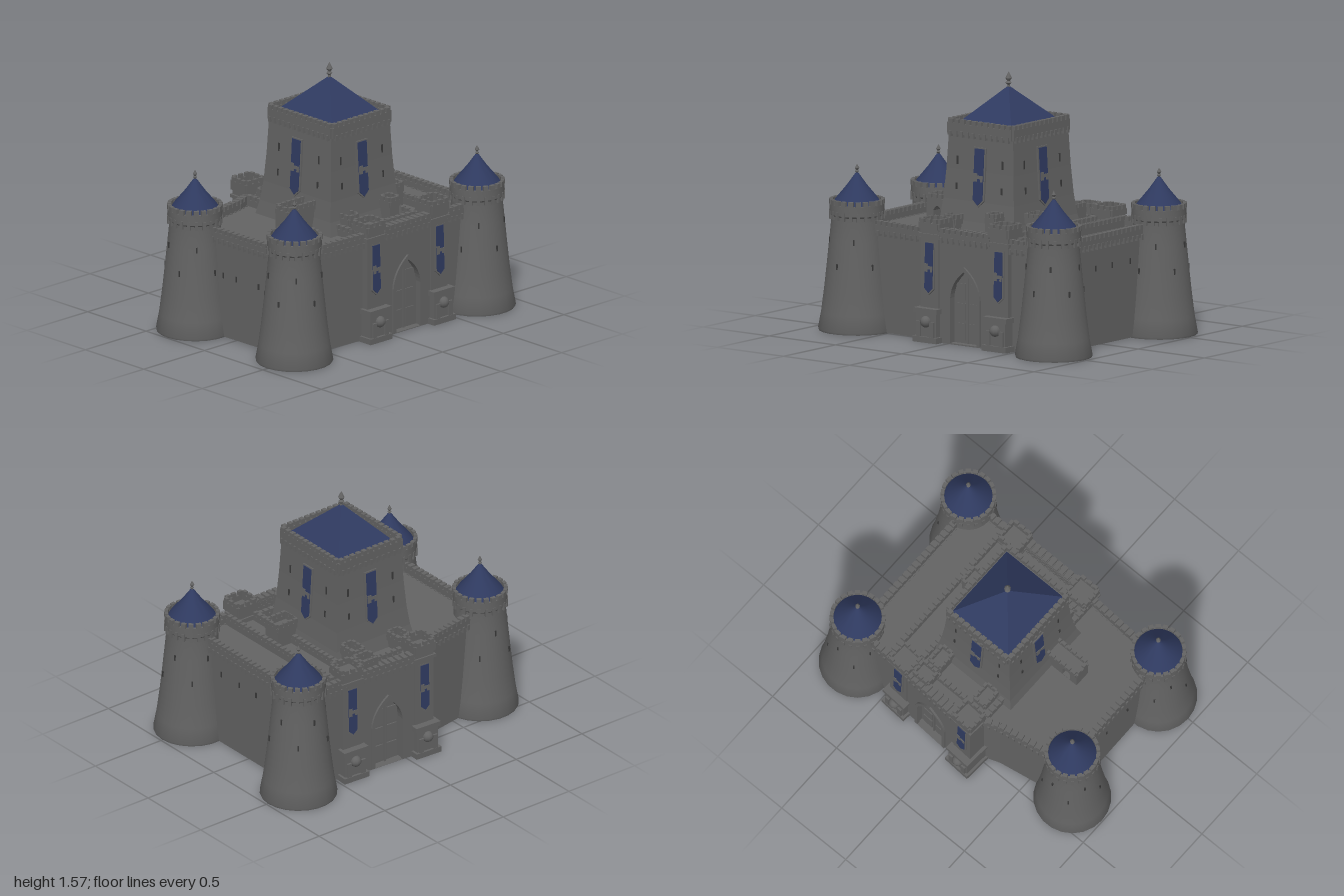
import * as THREE from 'three';
import { mergeGeometries, toCreasedNormals } from 'three/addons/utils/BufferGeometryUtils.js';

const mat = (name, color, side = THREE.FrontSide) => {
  const m = new THREE.MeshStandardMaterial({ color, side });
  m.name = name;
  return m;
};

export function createModel() {
  const stone = mat('stone', 0x626262);
  const blue = mat('blue', 0x2f3a60);
  const dark = mat('dark slit', 0x383838);
  const castle = new THREE.Group();
  castle.name = 'castle';

  const add = (parent, name, geo, material) => {
    const m = new THREE.Mesh(geo, material);
    m.name = name;
    parent.add(m);
    return m;
  };
  const group = (name, x, y, z, ry = 0) => {
    const g = new THREE.Group();
    g.name = name;
    g.position.set(x, y, z);
    g.rotation.y = ry;
    castle.add(g);
    return g;
  };
  // box given by its bottom centre
  const box = (w, h, d, x, y, z, ry = 0) =>
    new THREE.BoxGeometry(w, h, d).rotateY(ry).translate(x, y + h / 2, z);
  const lathe = (pts, seg) => toCreasedNormals(
    new THREE.LatheGeometry(pts.map(p => new THREE.Vector2(...p)), seg), 0.6);

  // wall with merlons (and optional corbels) between two ground points
  const wallGeo = ([x0, z0], [x1, z1], y0, y1, t = 0.035, corbels = false) => {
    const dx = x1 - x0, dz = z1 - z0, len = Math.hypot(dx, dz), ry = -Math.atan2(dz, dx);
    const parts = [box(len, y1 - y0 - 0.025, t, (x0 + x1) / 2, y0, (z0 + z1) / 2, ry)];
    const n = Math.max(2, Math.round(len / 0.042));
    for (let i = 0; i < n; i++) {
      const f = (i + 0.5) / n, x = x0 + dx * f, z = z0 + dz * f;
      parts.push(box(0.028, 0.025, t, x, y1 - 0.025, z, ry));
      if (corbels) parts.push(box(0.016, 0.035, t + 0.016, x, y0 - 0.015, z, ry));
    }
    return mergeGeometries(parts);
  };
  // merlons round a rectangle
  const crownGeo = (w, d, x, z, y0, y1, t = 0.025, corbels = false) => {
    const a = w / 2 - t / 2, b = d / 2 - t / 2;
    const c = [[x - a, z - b], [x + a, z - b], [x + a, z + b], [x - a, z + b]];
    return mergeGeometries(c.map((p, i) => wallGeo(p, c[(i + 1) % 4], y0, y1, t, corbels)));
  };
  const finial = (parent, y, s) => add(parent, 'finial', lathe([[0.012, -0.015], [0.008, 0.015],
    [0.02, 0.028], [0.009, 0.04], [0.021, 0.058], [0.01, 0.08], [0, 0.1]]
    .map(([r, h]) => [r * s, y + h * s]), 8), stone);

  // pointed outline, used for banners (down) and arches (up)
  const bannerGeo = (w, h, depth) => {
    const s = new THREE.Shape();
    s.moveTo(-w / 2, w * 0.45);
    s.lineTo(0, 0);
    s.lineTo(w / 2, w * 0.45);
    s.lineTo(w / 2, h);
    s.lineTo(-w / 2, h);
    return new THREE.ExtrudeGeometry(s, { depth, bevelEnabled: false });
  };
  const arch = (P, w, spring, apex) => {
    const s = new P();
    s.moveTo(-w, 0.01);
    s.lineTo(w, 0.01);
    s.lineTo(w, spring);
    s.quadraticCurveTo(w * 0.92, spring + (apex - spring) * 0.6, 0, apex);
    s.quadraticCurveTo(-w * 0.92, spring + (apex - spring) * 0.6, -w, spring);
    return s;
  };
  const banner = (parent, w, h, x, y, z, tilt) => {
    const g = new THREE.Group();
    g.name = 'banner';
    g.position.set(x, y, z);
    g.rotation.x = tilt;
    parent.add(g);
    add(g, 'bannerFrame', bannerGeo(w + 0.022, h + 0.02, 0.012).translate(0, -0.012, -0.006), stone);
    add(g, 'bannerCloth', bannerGeo(w, h, 0.006).translate(0, 0, 0.004), blue);
    add(g, 'bannerBand', mergeGeometries([
      box(w, 0.02, 0.005, 0, h * 0.47, 0.011),
      box(w * 0.4, 0.05, 0.005, -w * 0.3, h * 0.42, 0.011),
      box(w * 0.25, 0.03, 0.005, w * 0.35, h * 0.42, 0.011)]), stone);
  };

  // main body: low block under the courtyards
  const outline = [[-0.53, -0.74], [0.53, -0.74], [0.525, 0.15], [0.49, 0.74], [-0.36, 0.75], [-0.44, 0.3], [-0.53, 0.05]];
  const body = new THREE.Shape(outline.map(([x, z]) => new THREE.Vector2(x, -z)));
  add(castle, 'castleBody', new THREE.ExtrudeGeometry(body, { depth: 0.61, bevelEnabled: false })
    .rotateX(-Math.PI / 2).translate(0, 0.005, 0), stone);
  outline.forEach((p, i) => {
    const q = outline[(i + 1) % outline.length];
    add(castle, 'curtainParapet', wallGeo(p, q, 0.6, 0.675, 0.04, true), stone);
  });

  // inner cross walls on the terrace
  for (const [a, b, top] of [
    [[-0.5, -0.49], [0.5, -0.49], 0.68], [[-0.5, -0.33], [0.5, -0.33], 0.67],
    [[-0.46, 0.2], [0.5, 0.2], 0.68], [[0.42, -0.33], [0.42, 0.2], 0.67], [[-0.44, -0.33], [-0.44, 0.2], 0.67]])
    add(castle, 'innerWall', wallGeo(a, b, 0.6, top, 0.03), stone);

  // small turrets around the keep
  for (const [x, z, w, d, top] of [
    [0.14, -0.37, 0.13, 0.17, 0.77], [0.35, -0.19, 0.1, 0.09, 0.78], [-0.36, -0.23, 0.14, 0.1, 0.75],
    [-0.49, -0.24, 0.11, 0.13, 0.74], [-0.36, 0.12, 0.14, 0.1, 0.72], [0.33, 0.13, 0.11, 0.1, 0.74]]) {
    add(castle, 'smallTurret', mergeGeometries([box(w - 0.015, top - 0.65, d - 0.015, x, 0.6, z),
      crownGeo(w, d, x, z, top - 0.06, top, 0.018)]), stone);
  }

  // arched bridge in front of the keep
  const bridge = new THREE.Shape();
  bridge.moveTo(-0.47, 0.6);
  bridge.lineTo(-0.2, 0.6);
  bridge.lineTo(-0.2, 0.765);
  bridge.lineTo(-0.47, 0.765);
  const hole = new THREE.Path();
  hole.moveTo(-0.42, 0.62);
  hole.lineTo(-0.36, 0.62);
  hole.lineTo(-0.36, 0.705);
  hole.quadraticCurveTo(-0.39, 0.765, -0.42, 0.705);
  bridge.holes.push(hole);
  add(castle, 'bridge', new THREE.ExtrudeGeometry(bridge, { depth: 0.105, bevelEnabled: false })
    .rotateY(Math.PI / 2).translate(0.058, 0, 0), stone);
  add(castle, 'bridgeParapet', crownGeo(0.12, 0.26, 0.11, 0.345, 0.75, 0.805, 0.02), stone);

  // corner towers
  const N = 22;
  for (const [x, z] of [[-0.505, -0.76], [0.505, -0.76], [-0.325, 0.765], [0.495, 0.735]]) {
    const t = group('cornerTower', x, 0, z);
    add(t, 'towerWall', lathe([[0, 0], [0.228, 0], [0.232, 0.012], [0.214, 0.11], [0.196, 0.25], [0.18, 0.4],
      [0.165, 0.55], [0.154, 0.66], [0.154, 0.69], [0.163, 0.7], [0.163, 0.762], [0.14, 0.762]], N), stone);
    const parts = [];
    for (let i = 0; i < N; i++) {
      const a = (i / N) * Math.PI * 2;
      parts.push(box(0.03, 0.03, 0.022, 0, 0.76, 0.154).rotateY(a));
      parts.push(box(0.018, 0.05, 0.02, 0, 0.672, 0.157).rotateY(a));
    }
    add(t, 'towerCrown', mergeGeometries(parts), stone);
    add(t, 'towerRoof', lathe([[0.146, 0.762], [0.128, 0.79], [0.06, 0.872], [0.008, 0.945]], N), blue);
    finial(t, 0.935, 0.65);
    const slits = [];
    for (let i = 0; i < 5; i++)
      for (const [y, r] of [[0.53, 0.166], [0.38, 0.181]])
        slits.push(box(0.009, 0.035, 0.008, 0, y, r).rotateY(i * 1.257 + y * 4));
    add(t, 'arrowSlits', mergeGeometries(slits), dark);
  }

  // keep: square sections widening towards the foot
  const keep = group('keep', 0.005, 0, -0.025);
  const rows = [[0.6, 0.325], [0.7, 0.303], [0.82, 0.288], [1.0, 0.275], [1.21, 0.265]];
  const pos = [];
  const corner = ([y, h], k) => [[h, h - 0.022], [h, 0.022 - h], [-h, 0.022 - h], [-h, h - 0.022]][k % 4].toSpliced(1, 0, y);
  for (let r = 0; r < rows.length - 1; r++)
    for (let k = 0; k < 4; k++) {
      const a = corner(rows[r], k), b = corner(rows[r], k + 1), c = corner(rows[r + 1], k + 1), d = corner(rows[r + 1], k);
      pos.push(a, b, c, a, c, d);
    }
  const keepGeo = new THREE.BufferGeometry();
  keepGeo.setAttribute('position', new THREE.Float32BufferAttribute(pos.flat(), 3));
  keepGeo.computeVertexNormals();
  add(keep, 'keepWall', keepGeo, stone);
  add(keep, 'keepTop', box(0.54, 0.06, 0.48, 0, 1.19, 0), stone);
  add(keep, 'keepCrown', crownGeo(0.565, 0.505, 0, 0, 1.21, 1.3, 0.028, true), stone);
  add(keep, 'keepRoof', new THREE.ConeGeometry(Math.SQRT1_2, 0.24, 4, 1).toNonIndexed()
    .rotateY(Math.PI / 4).scale(0.51, 1, 0.45).translate(0, 1.365, 0), blue).geometry.computeVertexNormals();
  finial(keep, 1.475, 0.95);
  for (let k = 0; k < 4; k++) {
    const side = new THREE.Group();
    side.name = 'keepSide';
    side.rotation.y = k * Math.PI / 2;
    keep.add(side);
    const off = k % 2 ? 0 : -0.022;
    banner(side, 0.072, 0.34, k === 0 ? -0.015 : 0, 0.8, 0.292 + off, -0.06);
    add(side, 'keepSlits', mergeGeometries([-0.17, 0.17].flatMap(x =>
      [box(0.011, 0.05, 0.008, x, 1.03, 0.272 + off), box(0.011, 0.04, 0.008, x, 0.88, 0.283 + off)])), dark);
  }

  // side gates, each facing outward
  for (const [x, ry] of [[0.515, Math.PI / 2], [-0.525, -Math.PI / 2 - 0.06]]) {
    const g = group('gate', x, 0, -0.13, ry);
    const front = new THREE.Shape([[-0.19, 0], [0.19, 0], [0.19, 0.64], [-0.19, 0.64]].map(p => new THREE.Vector2(...p)));
    front.holes.push(arch(THREE.Path, 0.105, 0.28, 0.45));
    add(g, 'portalWall', new THREE.ExtrudeGeometry(front, { depth: 0.045, bevelEnabled: false, curveSegments: 8 }), stone);
    const trim = arch(THREE.Shape, 0.122, 0.285, 0.475);
    trim.holes.push(arch(THREE.Path, 0.1, 0.28, 0.445));
    add(g, 'archTrim', new THREE.ExtrudeGeometry(trim, { depth: 0.02, bevelEnabled: false, curveSegments: 8 })
      .translate(0, 0, 0.038), stone);
    // door leaves with raised panels
    const panels = [box(0.008, 0.4, 0.012, 0, 0.01, 0.014)];
    for (const px of [-0.05, 0.05]) for (const py of [0.03, 0.15, 0.27])
      panels.push(box(0.07, 0.1, 0.008, px, py, 0.014));
    add(g, 'doorPanels', mergeGeometries(panels), stone);
    add(g, 'portalParapet', wallGeo([-0.19, 0.025], [0.19, 0.025], 0.62, 0.69, 0.06, true), stone);
    for (const s of [-1, 1]) {
      const px = s * 0.262;
      add(g, 'pier', mergeGeometries([
        box(0.18, 0.035, 0.19, px, 0, 0.005), box(0.15, 0.14, 0.16, px, 0.035, 0.005),
        box(0.175, 0.03, 0.18, px, 0.175, 0.005), box(0.135, 0.5, 0.12, px, 0.2, -0.01),
        box(0.16, 0.02, 0.14, px, 0.63, -0.01)]), stone);
      // carved block on the pier foot
      add(g, 'pierCarving', mergeGeometries([
        new THREE.SphereGeometry(0.035, 10, 8).translate(px, 0.125, 0.085),
        box(0.03, 0.09, 0.025, px - 0.05, 0.035, 0.085), box(0.03, 0.09, 0.025, px + 0.05, 0.035, 0.085)]), stone);
      add(g, 'pierCrown', crownGeo(0.16, 0.15, px, -0.01, 0.68, s > 0 ? 0.76 : 0.74, 0.02), stone);
      banner(g, 0.06, 0.3, px, 0.295, 0.054, -0.03);
    }
  }

  // arrow slits on the front and back curtain walls
  const slits = [];
  for (const x of [-0.1, 0.01, 0.2]) slits.push(box(0.009, 0.035, 0.008, x, 0.37, 0.747));
  for (const x of [-0.25, -0.08, 0.08, 0.25]) slits.push(box(0.009, 0.035, 0.008, x, 0.45, -0.741));
  add(castle, 'wallSlits', mergeGeometries(slits), dark);
  return castle;
}
